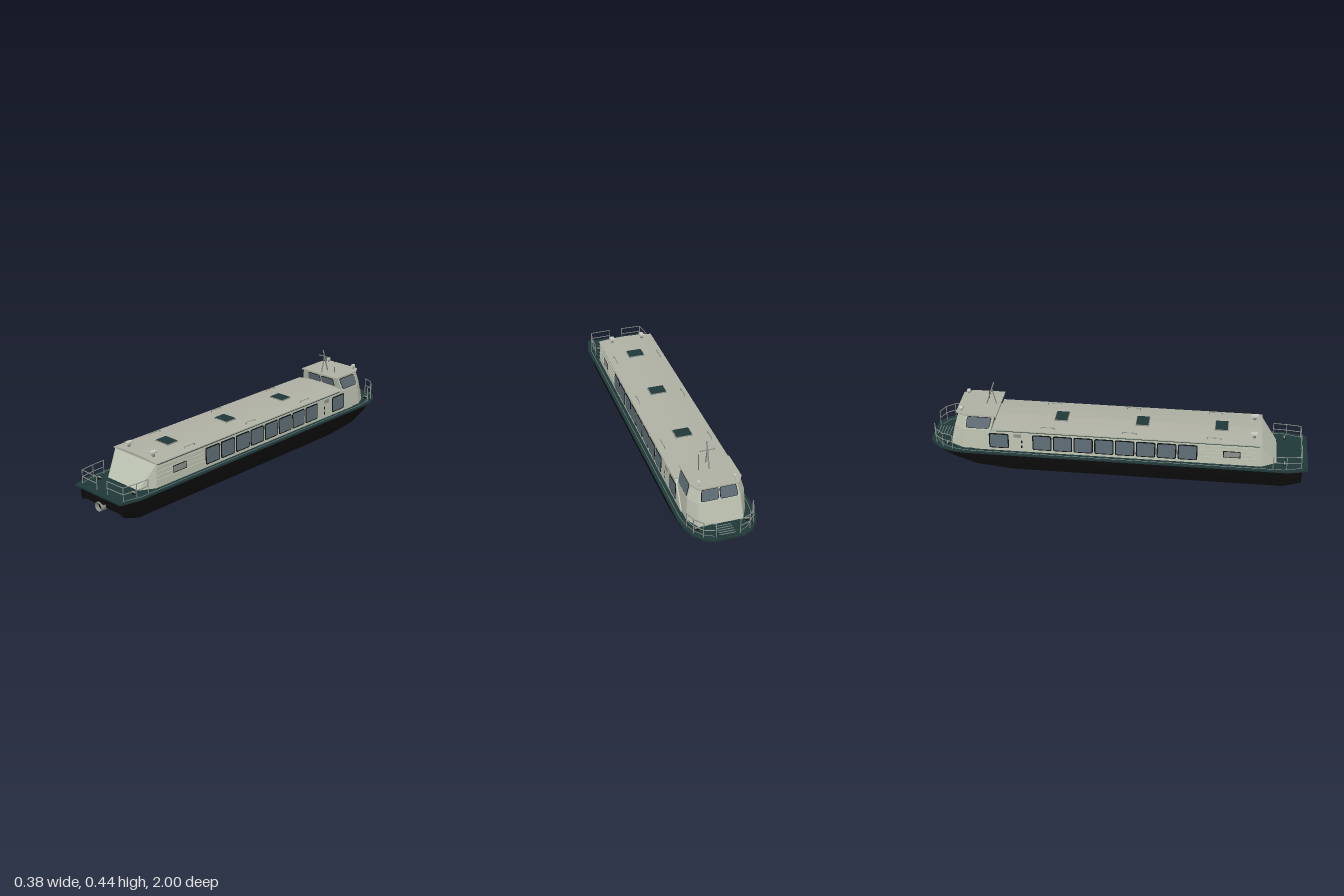
import * as THREE from 'three';

const mat = (name, color, extra = {}) => {
  const m = new THREE.MeshStandardMaterial({ color, ...extra });
  m.name = name;
  return m;
};
const V = (x, y, z) => new THREE.Vector3(x, y, z);

export function createModel() {
  const M = {
    hull: mat('hull black', 0x0b0b0b),
    deck: mat('deck green', 0x203838),
    wall: mat('cabin wall', 0xbcc2b1),
    roof: mat('roof grey', 0xb0b1a4),
    glass: mat('window glass', 0x5f6c75),
    frame: mat('window frame', 0x0e1213),
    metal: mat('rail metal', 0x8a8e88),
    lamp: mat('lamp white', 0xc6c8be),
  };
  const root = new THREE.Group();
  root.name = 'riverBoat';
  const add = (geo, m, name, x = 0, y = 0, z = 0, parent = root) => {
    const mesh = new THREE.Mesh(geo, m);
    mesh.name = name;
    mesh.position.set(x, y, z);
    parent.add(mesh);
    return mesh;
  };
  const box = (name, m, w, h, d, x, y, z) => add(new THREE.BoxGeometry(w, h, d), m, name, x, y, z);

  // Skin through mirrored half sections, with flat faces and closed ends
  const loft = (name, m, halves) => {
    const rings = halves.map(h => [...h, ...h.slice(1, -1).reverse().map(p => [-p[0], p[1], p[2]])]);
    const pos = [];
    const tri = (...pts) => pts.forEach(p => pos.push(...p));
    const n = rings[0].length;
    for (let i = 0; i < rings.length - 1; i++) for (let j = 0; j < n; j++) {
      const k = (j + 1) % n, a = rings[i][j], b = rings[i][k], c = rings[i + 1][k], d = rings[i + 1][j];
      tri(a, d, b);
      tri(b, d, c);
    }
    const first = rings[0], last = rings[rings.length - 1], mid = halves[0].length - 1;
    for (let j = 0; j < n; j++) {
      const k = (j + 1) % n;
      if (j === mid || k === mid) continue;
      tri(first[mid], first[j], first[k]);
      tri(last[mid], last[k], last[j]);
    }
    const g = new THREE.BufferGeometry();
    g.setAttribute('position', new THREE.Float32BufferAttribute(pos, 3));
    g.computeVertexNormals();
    return add(g, m, name);
  };

  // Straight rod between two points
  const rod = (name, m, a, b, r, parent = root) => {
    const d = b.clone().sub(a);
    const mesh = add(new THREE.CylinderGeometry(r, r, d.length(), 6), m, name, 0, 0, 0, parent);
    mesh.position.copy(a).add(b).multiplyScalar(0.5);
    mesh.quaternion.setFromUnitVectors(V(0, 1, 0), d.normalize());
  };

  // Thin rounded plate on part of a four-cornered wall (corners: bl, br, tr, tl from outside)
  const plate = (name, m, wall, u0, u1, v0, v1, lift, radius) => {
    const at = (u, v) => wall[0].clone().lerp(wall[1], u).lerp(wall[3].clone().lerp(wall[2], u), v);
    const c = [at(u0, v0), at(u1, v0), at(u1, v1), at(u0, v1)];
    const ux = c[1].clone().sub(c[0]).normalize();
    const nz = ux.clone().cross(c[3].clone().sub(c[0])).normalize();
    const uy = nz.clone().cross(ux);
    const p = c.map(q => { const d = q.clone().sub(c[0]); return new THREE.Vector2(d.dot(ux), d.dot(uy)); });
    const s = new THREE.Shape();
    p.forEach((q, i) => {
      const step = o => q.clone().add(o.clone().sub(q).setLength(radius));
      const a = step(p[(i + 3) % 4]), b = step(p[(i + 1) % 4]);
      if (i) s.lineTo(a.x, a.y); else s.moveTo(a.x, a.y);
      s.quadraticCurveTo(q.x, q.y, b.x, b.y);
    });
    const g = new THREE.ShapeGeometry(s, 4);
    g.applyMatrix4(new THREE.Matrix4().makeBasis(ux, uy, nz).setPosition(c[0].addScaledVector(nz, lift)));
    add(g, m, name);
  };
  const pane = (name, wall, u0, u1, v0, v1, m = M.glass, border = 0.006) => {
    const w = wall[0].distanceTo(wall[1]), h = wall[0].distanceTo(wall[3]);
    const du = border / w, dv = border / h;
    plate(name + 'Frame', M.frame, wall, u0, u1, v0, v1, 0.002, 0.012);
    plate(name, m, wall, u0 + du, u1 - du, v0 + dv, v1 - dv, 0.004, 0.008);
  };
  const mirrored = w => [1, 0, 3, 2].map(i => V(-w[i].x, w[i].y, w[i].z));

  // Hull: twin shallow keels, raked bow
  const hullRows = [
    [0.97, 0.16, 0.03, 0.04], [0.88, 0.16, 0, 0.02], [-0.55, 0.16, 0, 0.015], [-0.74, 0.16, 0.02, 0.022],
    [-0.86, 0.15, 0.055, 0.055], [-0.94, 0.125, 0.078, 0.078], [-0.985, 0.075, 0.094, 0.094],
  ];
  loft('hull', M.hull, hullRows.map(([z, w, yb, ym]) => [
    [0, ym, z], [w * 0.72, ym, z], [w * 0.97, yb, z], [w, yb + (0.105 - yb) * 0.4, z], [w, 0.106, z], [0, 0.106, z],
  ]));
  box('sternBlock', M.hull, 0.07, 0.02, 0.03, 0, 0.075, 0.975);

  // Deck plate and its light edge line
  const outline = [[0, 1], [0.165, 1], [0.19, 0.9], [0.19, -0.8], [0.182, -0.87], [0.16, -0.93], [0.125, -0.975], [0.08, -1], [0, -1]];
  loft('deck', M.deck, [0.113, 0.105].map(y => outline.map(([x, z]) => [x, y, z])));
  for (const s of [1, -1]) for (let i = 1; i < 7; i++) {
    const q = k => V(s * (outline[k][0] - 0.016), 0.1135, outline[k][1] * 0.97);
    rod('deckEdgeLine', M.metal, q(i), q(i + 1), 0.0014);
  }

  // Long cabin with raked aft wall and cut corners
  const sec = (zb, zt, wb) => [[0, 0.11, zb], [wb, 0.11, zb], [0.15, 0.236, zt], [0, 0.236, zt]];
  loft('cabin', M.wall, [sec(0.84, 0.75, 0.11), sec(0.76, 0.75, 0.155), sec(-0.75, -0.64, 0.155)]);
  loft('cabinRoof', M.roof, [0.757, -0.645].map(z => [
    [0, 0.234, z], [0.156, 0.234, z], [0.156, 0.239, z], [0.08, 0.246, z], [0, 0.249, z],
  ]));

  // Cabin sides: windows, slats, vents
  const right = [V(0.155, 0.11, 0), V(0.155, 0.11, -1), V(0.15, 0.236, -1), V(0.15, 0.236, 0)];
  const left = [V(0.155, 0.11, 0.75), V(0.155, 0.11, -0.25), V(0.15, 0.236, -0.25), V(0.15, 0.236, 0.75)];
  const shift = (w, dz) => w.map(p => V(p.x, p.y, p.z + dz));
  for (const side of [w => w, mirrored]) {
    const onSide = (z0, z1, y0, y1, fn) => {
      const wall = side(shift(right, z0));
      const len = z0 - z1, flip = side === mirrored;
      fn(wall, flip ? 1 - len : 0, flip ? 1 : len, (y0 - 0.11) / 0.126, (y1 - 0.11) / 0.126);
    };
    for (let i = 0; i < 8; i++) {
      const z = 0.428 - i * 0.109;
      onSide(z, z - 0.102, 0.128, 0.218, (...a) => pane('cabinWindow', ...a));
    }
    onSide(-0.562, -0.668, 0.128, 0.216, (...a) => pane('forwardWindow', ...a));
    onSide(0.65, 0.56, 0.158, 0.196, (...a) => plate('hatchFrame', M.frame, ...a, 0.005, 0.002));
    onSide(0.646, 0.564, 0.162, 0.192, (...a) => plate('sideHatch', M.metal, ...a, 0.006, 0.002));
    onSide(-0.495, -0.535, 0.197, 0.217, (...a) => plate('ventPlate', M.metal, ...a, 0.003, 0.002));
    for (const y of [0.135, 0.165]) onSide(-0.49, -0.498, y, y + 0.016, (...a) => plate('ventSlot', M.frame, ...a, 0.003, 0.002));
  }
  for (const s of [1, -1]) {
    for (const y of [0.15, 0.172, 0.194, 0.216])
      box('sideSlat', M.wall, 0.006, 0.006, 0.31, s * (0.1555 - (y - 0.11) * 0.04), y, 0.595);
    box('roofTrim', M.deck, 0.004, 0.004, 1.37, s * 0.1515, 0.231, 0.06);
  }

  // Wheelhouse
  const plan = (y, zr, w, zs, c, zf) => [[0, y, zr], [w, y, zr], [w, y, zs], [c, y, zf], [0, y, zf]];
  loft('wheelhouse', M.wall, [
    plan(0.299, -0.64, 0.122, -0.79, 0.095, -0.835), plan(0.225, -0.66, 0.143, -0.8, 0.105, -0.858),
    plan(0.11, -0.66, 0.15, -0.81, 0.112, -0.885),
  ]);
  loft('wheelhouseRoof', M.roof, [plan(0.304, -0.63, 0.128, -0.8, 0.1, -0.848), plan(0.297, -0.63, 0.128, -0.8, 0.1, -0.848)]);
  const houseSide = [V(0.143, 0.225, -0.66), V(0.143, 0.225, -0.8), V(0.122, 0.299, -0.79), V(0.122, 0.299, -0.64)];
  pane('wheelhouseSideWindow', houseSide, 0.07, 0.95, 0.1, 0.93, M.glass, 0.003);
  pane('wheelhouseSideWindow', mirrored(houseSide), 0.05, 0.93, 0.1, 0.93, M.glass, 0.003);
  const houseFront = [V(0.105, 0.225, -0.858), V(-0.105, 0.225, -0.858), V(-0.095, 0.299, -0.835), V(0.095, 0.299, -0.835)];
  const houseRear = [V(-0.143, 0.225, -0.66), V(0.143, 0.225, -0.66), V(0.122, 0.299, -0.64), V(-0.122, 0.299, -0.64)];
  for (const [a, b] of [[0.05, 0.485], [0.515, 0.95]]) pane('wheelhouseFrontWindow', houseFront, a, b, 0.12, 0.9, M.glass, 0.003);
  for (const [a, b] of [[0.14, 0.485], [0.515, 0.86]]) pane('wheelhouseRearWindow', houseRear, a, b, 0.3, 0.88, M.glass, 0.003);

  // Mast, aerial and wheelhouse lamps
  rod('mast', M.metal, V(0, 0.3, -0.705), V(0, 0.434, -0.66), 0.0035);
  rod('mastStay', M.metal, V(0, 0.3, -0.65), V(0, 0.395, -0.673), 0.003);
  rod('mastCrossbar', M.metal, V(-0.04, 0.393, -0.675), V(0.04, 0.393, -0.675), 0.0025);
  rod('aerial', M.frame, V(0.052, 0.3, -0.7), V(0.052, 0.393, -0.7), 0.001);
  for (const s of [1, -1]) {
    rod('lampPost', M.metal, V(s * 0.09, 0.3, -0.82), V(s * 0.09, 0.315, -0.82), 0.003);
    const lamp = add(new THREE.CylinderGeometry(0.01, 0.01, 0.016, 14), M.lamp, 'searchLamp', s * 0.09, 0.322, -0.82);
    lamp.rotation.x = Math.PI / 2;
    // Aft roof lamps
    rod('aftLampPost', M.metal, V(s * 0.088, 0.24, 0.715), V(s * 0.088, 0.265, 0.715), 0.008);
    box('aftLamp', M.lamp, 0.024, 0.01, 0.036, s * 0.088, 0.268, 0.715);
  }

  // Roof hatches and grab rails
  for (const z of [-0.3, 0.13, 0.545]) {
    box('hatchRim', M.metal, 0.09, 0.008, 0.072, 0, 0.248, z);
    box('roofHatch', M.deck, 0.082, 0.008, 0.064, 0, 0.251, z);
    for (const s of [1, -1]) {
      const x = s * 0.125, zc = z - 0.06 + (z > 0.5 ? 0.025 : 0);
      rod('grabRail', M.metal, V(x, 0.252, zc - 0.035), V(x, 0.252, zc + 0.035), 0.002);
      for (const e of [-0.035, 0.035]) rod('grabRailFoot', M.metal, V(x, 0.24, zc + e), V(x, 0.252, zc + e), 0.002);
    }
  }

  // Deck railings, bow and stern
  const railing = (name, pts, heights) => {
    for (const s of [1, -1]) {
      const g = new THREE.Group();
      g.name = name;
      root.add(g);
      pts.forEach(([x, z], i) => {
        rod('railPost', M.metal, V(s * x, 0.11, z), V(s * x, heights[0], z), 0.0022, g);
        const nx = pts[i + 1];
        if (nx) for (const y of heights) rod('railBar', M.metal, V(s * x, y, z), V(s * nx[0], y, nx[1]), 0.0022, g);
      });
    }
  };
  railing('bowRailing', [[0.167, -0.865], [0.15, -0.92], [0.115, -0.962], [0.06, -0.983]], [0.194, 0.155]);
  railing('sternRailing', [[0.163, 0.82], [0.16, 0.89], [0.15, 0.965], [0.038, 0.968]], [0.182, 0.147]);

  // Bow step plate, mooring cleats
  box('bowPlate', M.deck, 0.09, 0.006, 0.1, 0, 0.115, -0.94);
  for (let i = 0; i < 5; i++) box('bowPlateRib', M.metal, 0.08, 0.002, 0.003, 0, 0.119, -0.975 + i * 0.016);
  for (const s of [1, -1]) for (const z of [0.88, -0.9]) {
    box('cleatBase', M.frame, 0.012, 0.012, 0.012, s * 0.125, 0.117, z);
    box('cleatBar', M.metal, 0.024, 0.004, 0.008, s * 0.125, 0.124, z);
  }

  // Thruster nozzle at the stern and grating beneath it
  const ring = [[0.021, -0.025], [0.025, -0.025], [0.025, 0.025], [0.021, 0.025], [0.021, -0.025]].map(p => new THREE.Vector2(...p));
  const nozzle = add(new THREE.LatheGeometry(ring, 28), M.metal, 'thrusterNozzle', 0, 0.046, 0.972);
  nozzle.rotation.x = Math.PI / 2;
  const hub = add(new THREE.CylinderGeometry(0.021, 0.021, 0.01, 20), M.hull, 'thrusterHub', 0, 0.046, 0.972);
  hub.rotation.x = Math.PI / 2;
  box('intakeGrating', M.deck, 0.08, 0.006, 0.08, 0, 0.019, 0.82);
  for (let i = 0; i < 5; i++) box('intakeBar', M.frame, 0.07, 0.002, 0.004, 0, 0.0155, 0.79 + i * 0.015);

  return root;
}
